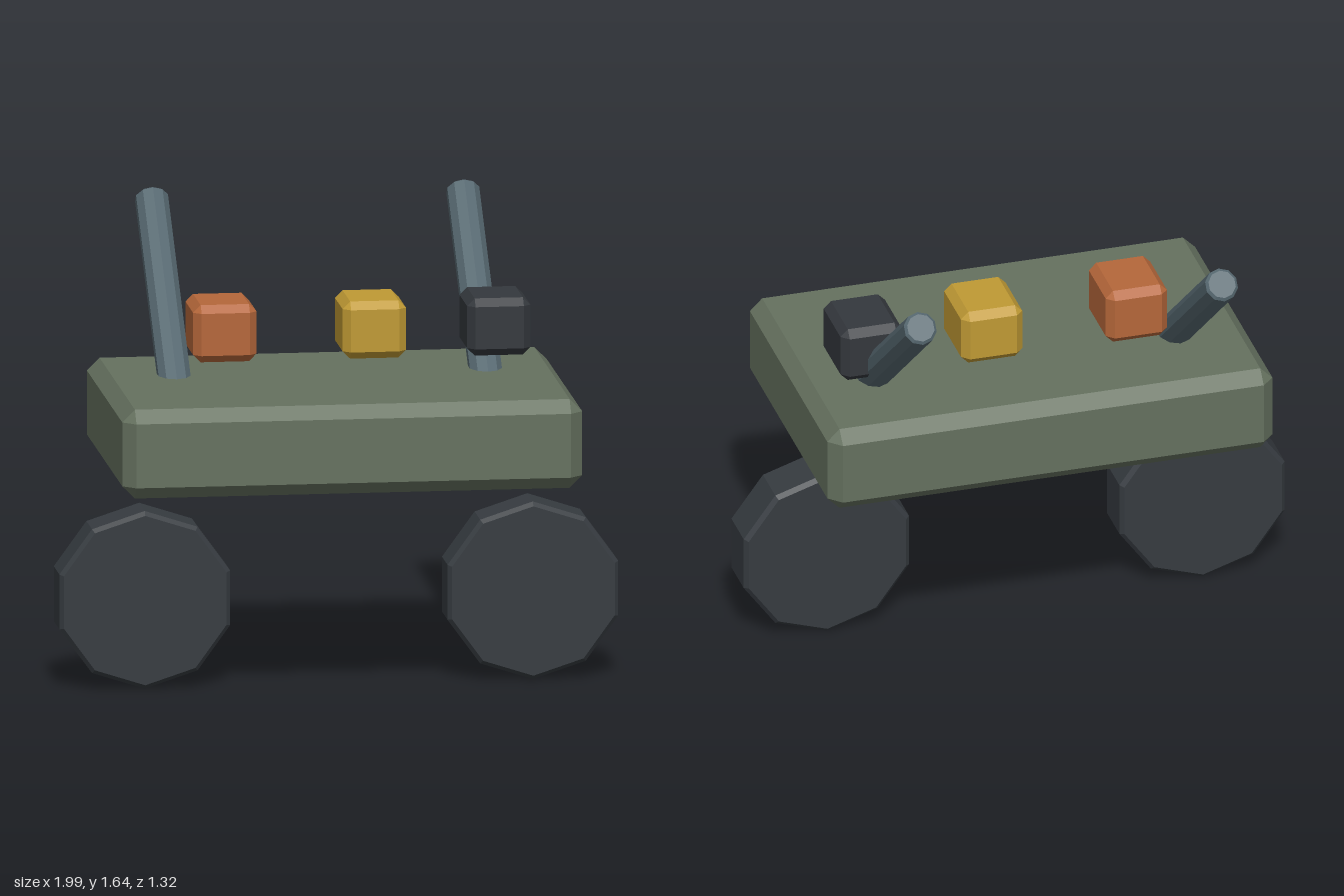
import * as THREE from 'three';
import { ConvexGeometry } from 'three/addons/geometries/ConvexGeometry.js';

const material = (color) => new THREE.MeshStandardMaterial({ color, flatShading: true });

// Box with all edges and corners cut off by a chamfer
function chamferBox(w, h, d, c) {
  const points = [];
  for (const sx of [-1, 1]) for (const sy of [-1, 1]) for (const sz of [-1, 1])
    for (let axis = 0; axis < 3; axis++) {
      const inset = [c, c, c];
      inset[axis] = 0;
      points.push(new THREE.Vector3(
        sx * (w / 2 - inset[0]), sy * (h / 2 - inset[1]), sz * (d / 2 - inset[2])));
    }
  return new ConvexGeometry(points);
}

// Ten-sided cylinder along y, centred, with chamfered rims
function chamferCylinder(r, length, c) {
  const h = length / 2;
  const profile = [[0, -h], [r - c, -h], [r, -h + c], [r, h - c], [r - c, h], [0, h]]
    .map(([x, y]) => new THREE.Vector2(x, y));
  return new THREE.LatheGeometry(profile, 10);
}

export function createModel() {
  const group = new THREE.Group();
  const add = (name, geometry, mat, x, y, z) => {
    const mesh = new THREE.Mesh(geometry, mat);
    mesh.name = name;
    mesh.position.set(x, y, z);
    group.add(mesh);
    return mesh;
  };

  // Flat cart body
  add('body', chamferBox(1.64, 0.32, 1.065, 0.045), material(0x65715f), 0, 0.92, 0.132);

  // Wheels and backward-leaning handles, mirrored left and right
  const wheelGeometry = chamferCylinder(0.32, 0.185, 0.015);
  const wheelMaterial = material(0x363b40);
  const handleLength = 1;
  const handleGeometry = chamferCylinder(0.06, handleLength, 0.01);
  const handleMaterial = material(0x566870);
  const tilt = THREE.MathUtils.degToRad(-49.5);
  for (const [side, s] of [['left', 1], ['right', -1]]) {
    const wheel = add(side + 'Wheel', wheelGeometry, wheelMaterial, s * 0.692, 0.322, 0.172);
    wheel.rotation.x = Math.PI / 2;

    const handle = add(side + 'Handle', handleGeometry, handleMaterial, s * 0.555, 1.605, -0.628);
    handle.rotation.x = tilt;
    handle.translateY(-handleLength / 2);
  }

  // Row of blocks above the deck
  const blockGeometry = chamferBox(0.226, 0.206, 0.265, 0.027);
  const blocks = [
    ['orangeBlock', 0xb5673a, -0.385],
    ['yellowBlock', 0xc09a34, 0.148],
    ['darkBlock', 0x34383d, 0.592],
  ];
  for (const [name, color, x] of blocks)
    add(name, blockGeometry, material(color), x, 1.243, -0.022);

  return group;
}
